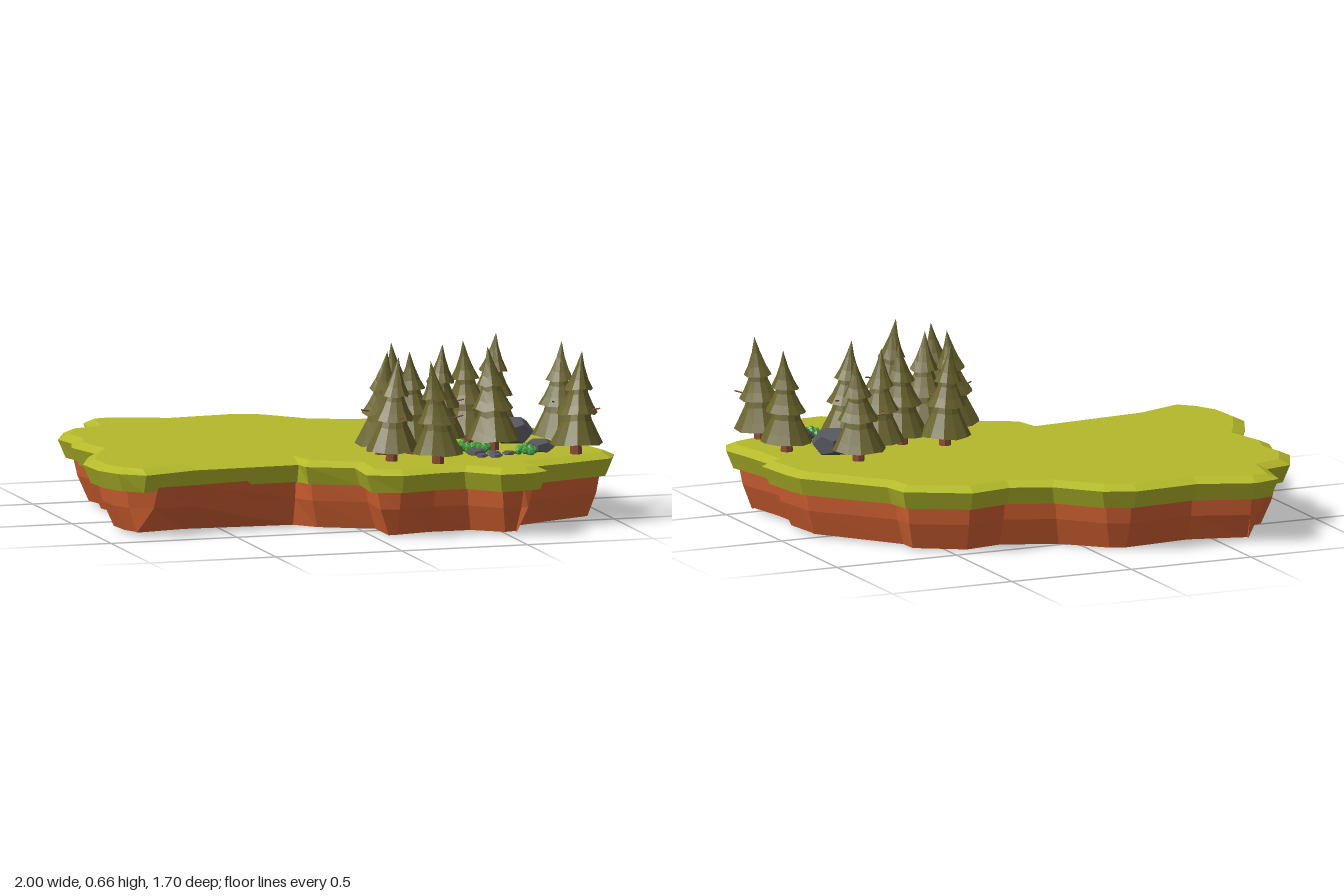
import * as THREE from 'three';

const mat = (color) => new THREE.MeshStandardMaterial({ color, flatShading: true });
const M = {
  grass: mat(0xb4b92a), dirt: mat(0xd66333), needles: mat(0x69632c),
  wood: mat(0x8a4a36), rock: mat(0x55555e), bush: mat(0x46a03c),
};
const GROUND = 0.27;

// Island outline (x, z), clockwise seen from above
const OUTLINE = [
  [-0.59, -0.85], [-0.38, -0.77], [-0.12, -0.79], [0, -0.74], [0.14, -0.59], [0.29, -0.53],
  [0.46, -0.56], [0.69, -0.43], [0.71, -0.33], [0.95, -0.05], [0.97, 0.03], [0.99, 0.2],
  [0.95, 0.21], [0.965, 0.33], [1, 0.5], [0.96, 0.59], [0.75, 0.66], [0.61, 0.7],
  [0.64, 0.81], [0.56, 0.85], [0.44, 0.85], [0.33, 0.74], [0.24, 0.74], [0.08, 0.77],
  [-0.05, 0.71], [-0.04, 0.53], [-0.21, 0.45], [-0.22, 0.39], [-0.63, 0.4], [-0.85, 0.47],
  [-0.94, 0.4], [-0.99, 0.3], [-1, 0.14], [-0.93, -0.02], [-0.88, -0.1], [-0.92, -0.26],
  [-0.89, -0.36], [-0.91, -0.47], [-0.84, -0.62], [-0.73, -0.65], [-0.7, -0.82],
];

function seeded(seed) {
  return () => (seed = (seed * 16807) % 2147483647) / 2147483647;
}

function add(parent, name, geometry, material, x = 0, y = 0, z = 0) {
  const mesh = new THREE.Mesh(geometry, material);
  mesh.name = name;
  mesh.position.set(x, y, z);
  parent.add(mesh);
  return mesh;
}

// Outline moved inwards by a distance, at a height; fixes replace single corners
function ring(inset, height, fixes = {}) {
  const n = OUTLINE.length;
  return OUTLINE.map(([x, z], i) => {
    const a = OUTLINE[(i + n - 1) % n], b = OUTLINE[(i + 1) % n];
    const dx = b[0] - a[0], dz = b[1] - a[1], len = Math.hypot(dx, dz);
    const [px, pz] = fixes[i] ?? [x - (dz / len) * inset, z + (dx / len) * inset];
    return new THREE.Vector3(px, height, pz);
  });
}

// Wall through a stack of rings, listed from top to bottom
function wall(rings) {
  const n = OUTLINE.length, index = [];
  for (let r = 0; r < rings.length - 1; r++) {
    for (let i = 0; i < n; i++) {
      const a = r * n + i, b = r * n + ((i + 1) % n);
      index.push(a, b, a + n, b, b + n, a + n);
    }
  }
  const g = new THREE.BufferGeometry().setFromPoints(rings.flat());
  g.setIndex(index);
  g.computeVertexNormals();
  return g;
}

// Flat fill of a ring at height 0, facing up or down
function cap(points, up) {
  const s = up ? -1 : 1;
  const g = new THREE.ShapeGeometry(new THREE.Shape(points.map((p) => new THREE.Vector2(p.x, s * p.z))));
  return g.rotateX((s * Math.PI) / 2);
}

function createIsland() {
  const island = new THREE.Group();
  island.name = 'island';
  // Wide slope in the front inlet, tidy corners on the front spur
  const top = ring(0.045, GROUND, {
    16: [0.73, 0.62], 17: [0.57, 0.67], 18: [0.595, 0.785], 19: [0.55, 0.805],
    27: [-0.21, 0.29], 28: [-0.67, 0.355],
  });
  add(island, 'grassTop', cap(top, true), M.grass, 0, GROUND, 0);
  add(island, 'grassRim', wall([top, ring(0, 0.25), ring(0.03, 0.18), ring(0.09, 0.187)]), M.grass);

  // Soil stands slightly proud of the grass at the inlet; its underside sags a little
  const sag = (x, z) => 0.016 * (x * x + z * z);
  const base = ring(0.118, 0);
  base.forEach((p) => p.setY(sag(p.x, p.z)));
  const upper = ring(0.055, 0.195, { 28: [-0.64, 0.41], 29: [-0.79, 0.43] });
  const middle = ring(0.075, 0.11, { 28: [-0.64, 0.375], 29: [-0.8, 0.4] });
  add(island, 'soilCliff', wall([upper, middle, base]), M.dirt);
  const under = cap(base, false), p = under.attributes.position;
  for (let i = 0; i < p.count; i++) p.setY(i, sag(p.getX(i), p.getZ(i)));
  add(island, 'soilUnderside', under, M.dirt);
  return island;
}

function createTree(x, z, leanX, leanZ, seed) {
  const tree = new THREE.Group(), rand = seeded(seed * 977 + 13);
  tree.name = 'pineTree';
  tree.position.set(x, GROUND, z);
  add(tree, 'trunk', new THREE.CylinderGeometry(0.02, 0.024, 0.1, 7), M.wood, 0, 0.045, 0);

  // Three flared skirts in one turned profile
  const profile = [
    [0.015, 0.06], [0.101, 0.042], [0.084, 0.075], [0.057, 0.13], [0.042, 0.185],
    [0.078, 0.158], [0.058, 0.19], [0.039, 0.23], [0.028, 0.275],
    [0.054, 0.25], [0.035, 0.285], [0.016, 0.335], [0, 0.395],
  ].map(([r, y]) => new THREE.Vector2(r, y));
  const sides = 12, n = profile.length;
  const g = new THREE.LatheGeometry(profile, sides, rand() * 6);
  const p = g.attributes.position;
  const wobble = Array.from({ length: sides }, () => rand() - 0.5);
  for (let i = 0; i < p.count; i++) {
    const w = wobble[Math.floor(i / n) % sides], y = p.getY(i), t = (y / 0.395) ** 2;
    const k = 1 + 0.08 * w, drop = i % n === n - 1 ? 0 : 0.012 * w;
    p.setXYZ(i, p.getX(i) * k + leanX * t, y + drop, p.getZ(i) * k + leanZ * t);
  }
  g.computeVertexNormals();
  add(tree, 'needles', g, M.needles);

  // Bare twig poking out between the skirts
  const a = rand() * Math.PI * 2, c = Math.cos(a), s = Math.sin(a);
  const path = new THREE.CatmullRomCurve3([
    new THREE.Vector3(0, 0.165, 0),
    new THREE.Vector3(0.06 * c, 0.172, 0.06 * s),
    new THREE.Vector3(0.1 * c, 0.18, 0.1 * s),
  ]);
  add(tree, 'twig', new THREE.TubeGeometry(path, 3, 0.003, 5), M.wood);
  return tree;
}

// Faceted boulder or pebble resting on the grass
function createRock(x, z, r, h, seed) {
  const rand = seeded(seed * 631 + 7);
  const g = new THREE.DodecahedronGeometry(1, 0);
  g.rotateX(rand() * 3).rotateY(rand() * 3).scale(r, h * 0.6, r);
  const rock = new THREE.Mesh(g, M.rock);
  rock.name = 'rock';
  rock.position.set(x, GROUND + h * 0.4, z);
  return rock;
}

// Clump of small leafy balls
function createBush(x, z, seed) {
  const bush = new THREE.Group(), rand = seeded(seed * 389 + 3);
  bush.name = 'bush';
  bush.position.set(x, GROUND, z);
  for (let i = 0; i < 12; i++) {
    const a = i * 2.4, d = 0.011 * Math.sqrt(i), r = 0.015 + 0.004 * rand();
    add(bush, 'leafClump', new THREE.IcosahedronGeometry(r, 0), M.bush,
      d * Math.cos(a), 0.03 - d * 0.5, d * Math.sin(a)).rotation.set(a, a * 2, 0);
  }
  return bush;
}

export function createModel() {
  const model = new THREE.Group();
  model.name = 'forestIsland';
  model.add(createIsland());

  // x, z, lean of the tip in x and z
  [
    [0.24, 0.165, -0.02, -0.01], [0.38, 0.25, 0.015, 0], [0.52, 0.17, -0.025, 0.02],
    [0.65, 0.06, 0.02, -0.01], [0.83, 0.32, 0.02, -0.01], [0.83, 0.56, 0.02, 0.01],
    [0.56, 0.37, -0.02, -0.01], [0.235, 0.37, -0.015, 0.02], [0.12, 0.355, 0.02, 0.01],
    [0.11, 0.52, 0.03, -0.01], [0.26, 0.63, -0.03, 0],
  ].forEach(([x, z, lx, lz], i) => model.add(createTree(x, z, lx, lz, i + 1)));

  // x, z, radius, height
  [
    [0.685, 0.22, 0.082, 0.1], [0.715, 0.46, 0.064, 0.05], [0.46, 0.47, 0.042, 0.025],
    [0.465, 0.53, 0.026, 0.015], [0.515, 0.545, 0.03, 0.016], [0.58, 0.505, 0.028, 0.016],
    [0.525, 0.485, 0.028, 0.016],
  ].forEach(([x, z, r, h], i) => model.add(createRock(x, z, r, h, i + 1)));

  [[0.645, 0.505], [0.44, 0.36], [0.5, 0.38]].forEach(([x, z], i) => model.add(createBush(x, z, i + 1)));

  // Fallen log
  const log = new THREE.CatmullRomCurve3([
    new THREE.Vector3(0.295, 0.285, 0.53), new THREE.Vector3(0.345, 0.288, 0.46), new THREE.Vector3(0.41, 0.285, 0.415),
  ]);
  const wood = M.wood.clone();
  wood.side = THREE.DoubleSide;
  add(model, 'fallenLog', new THREE.TubeGeometry(log, 4, 0.018, 7), wood);
  return model;
}
